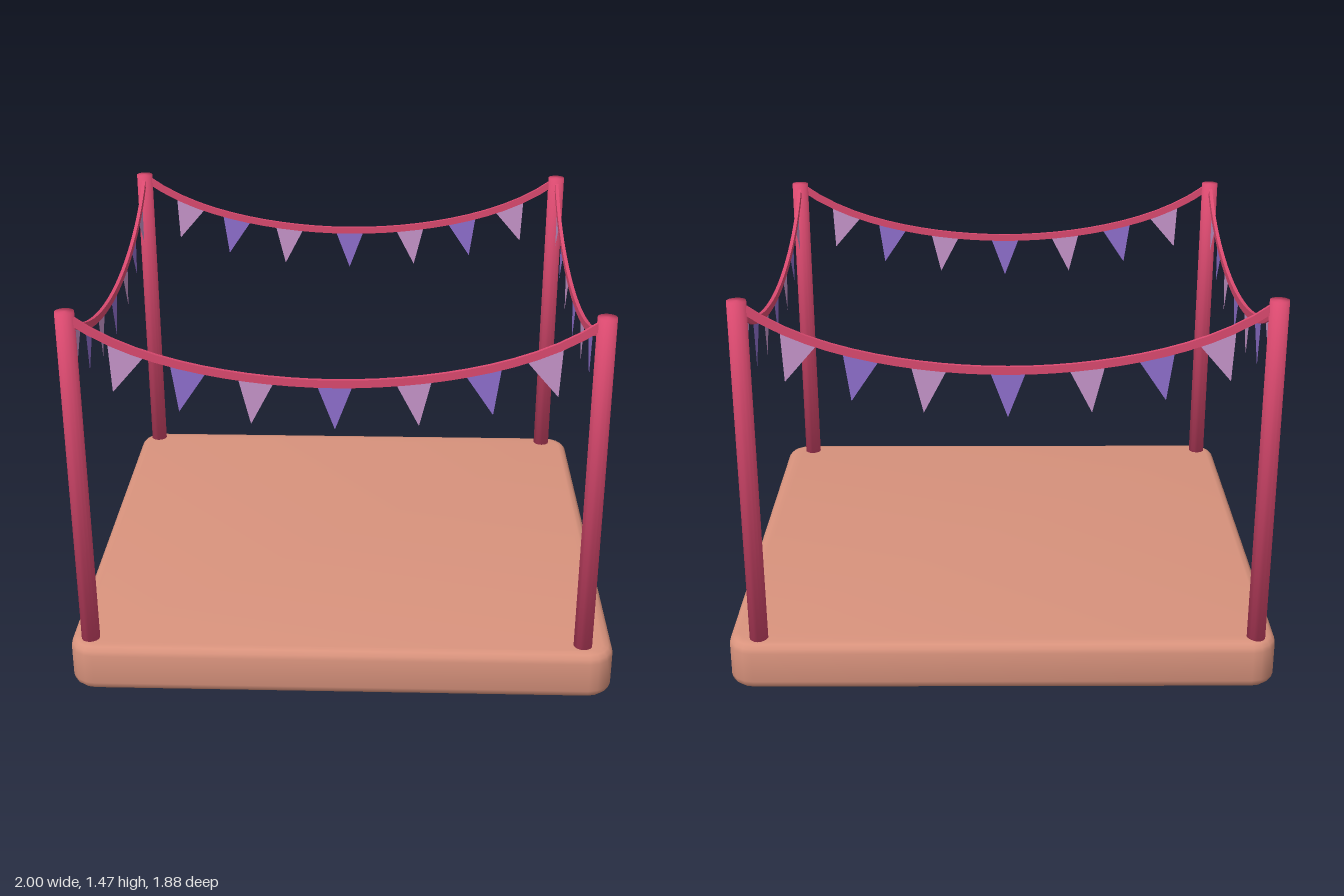
import * as THREE from 'three';
import { toCreasedNormals } from 'three/addons/utils/BufferGeometryUtils.js';

const material = (name, color, side = THREE.FrontSide) => {
  const m = new THREE.MeshStandardMaterial({ color, side });
  m.name = name;
  return m;
};

const part = (name, geometry, mat, parent) => {
  const mesh = new THREE.Mesh(geometry, mat);
  mesh.name = name;
  parent.add(mesh);
  return mesh;
};

// Height of the sagging rope, u = -1..1 from pole to pole
const ropeHeight = (u) => 1.217 + 0.18 * u ** 2 + 0.055 * u ** 6;

// Slab with softly rounded edges and corners
function slabGeometry(w, d, h, radius, bevel) {
  const x = w / 2 - bevel, y = d / 2 - bevel, r = radius - bevel;
  const s = new THREE.Shape();
  s.moveTo(-x + r, -y);
  s.lineTo(x - r, -y);
  s.absarc(x - r, -y + r, r, -Math.PI / 2, 0);
  s.lineTo(x, y - r);
  s.absarc(x - r, y - r, r, 0, Math.PI / 2);
  s.lineTo(-x + r, y);
  s.absarc(-x + r, y - r, r, Math.PI / 2, Math.PI);
  s.lineTo(-x, -y + r);
  s.absarc(-x + r, -y + r, r, Math.PI, Math.PI * 1.5);
  const g = new THREE.ExtrudeGeometry(s, {
    depth: h - 2 * bevel, bevelSize: bevel, bevelThickness: bevel,
    bevelSegments: 3, curveSegments: 2,
  });
  g.rotateX(-Math.PI / 2).translate(0, bevel, 0);
  return toCreasedNormals(g, 1);
}

// Flat band following the sag, in the xy plane
function ropeGeometry(half) {
  const steps = 24, top = [], bottom = [], thick = 0.014;
  for (let i = 0; i <= steps; i++) {
    const u = -1 + (2 * i) / steps;
    const slope = (ropeHeight(u + 0.001) - ropeHeight(u - 0.001)) / (0.002 * half);
    const n = new THREE.Vector2(-slope, 1).normalize().multiplyScalar(0.014);
    const p = new THREE.Vector2(u * half, ropeHeight(u));
    top.push(p.clone().add(n));
    bottom.push(p.sub(n));
  }
  const g = new THREE.ExtrudeGeometry(new THREE.Shape([...bottom, ...top.reverse()]), {
    depth: thick, bevelEnabled: false,
  });
  return toCreasedNormals(g.translate(0, 0, -thick / 2), 0.6);
}

// Triangular pennant hung at x, its tip swung slightly towards the near pole
function pennantGeometry(x, half) {
  const w = 0.062;
  const y = (px) => ropeHeight(px / half) - 0.006;
  const swing = 0.46 * x;
  return new THREE.ShapeGeometry(new THREE.Shape([
    new THREE.Vector2(x - w, y(x - w)),
    new THREE.Vector2(x + 0.165 * swing, y(x) - 0.165 * Math.sqrt(1 - swing * swing)),
    new THREE.Vector2(x + w, y(x + w)),
  ]));
}

export function createModel() {
  const model = new THREE.Group();
  model.name = 'buntingPlatform';
  const clay = material('clay', 0xd9937d);
  const rose = material('rose', 0xdc4a70);
  const lilac = material('lilac', 0xc896cc, THREE.DoubleSide);
  const violet = material('violet', 0x9070cf, THREE.DoubleSide);

  part('platform', slabGeometry(2, 1.88, 0.185, 0.095, 0.035), clay, model);

  // Corner poles
  const xs = [-0.924, 0.887], zs = [-0.877, 0.863];
  const poleGeometry = toCreasedNormals(
    new THREE.CylinderGeometry(0.034, 0.034, 1.295, 16), Math.PI);
  for (const x of xs) for (const z of zs) {
    part('pole', poleGeometry, rose, model).position.set(x, 1.465 - 1.295 / 2, z);
  }

  // A garland along each side
  const cx = (xs[0] + xs[1]) / 2, cz = (zs[0] + zs[1]) / 2;
  const halfX = (xs[1] - xs[0]) / 2, halfZ = (zs[1] - zs[0]) / 2;
  const sides = [
    ['frontGarland', cx, 0.87, 0, halfX],
    ['backGarland', cx, zs[0], Math.PI, halfX],
    ['leftGarland', xs[1], cz, Math.PI / 2, halfZ],
    ['rightGarland', xs[0], cz, -Math.PI / 2, halfZ],
  ];
  for (const [name, x, z, turn, half] of sides) {
    const garland = new THREE.Group();
    garland.name = name;
    garland.position.set(x, 0, z);
    garland.rotation.y = turn;
    part('rope', ropeGeometry(half), rose, garland);
    [-0.705, -0.497, -0.268, 0, 0.268, 0.502, 0.705].forEach((px, i) =>
      part('pennant', pennantGeometry(px, half), i % 2 ? violet : lilac, garland));
    // The middle pennant is violet, so colours alternate outwards from it
    model.add(garland);
  }
  return model;
}
